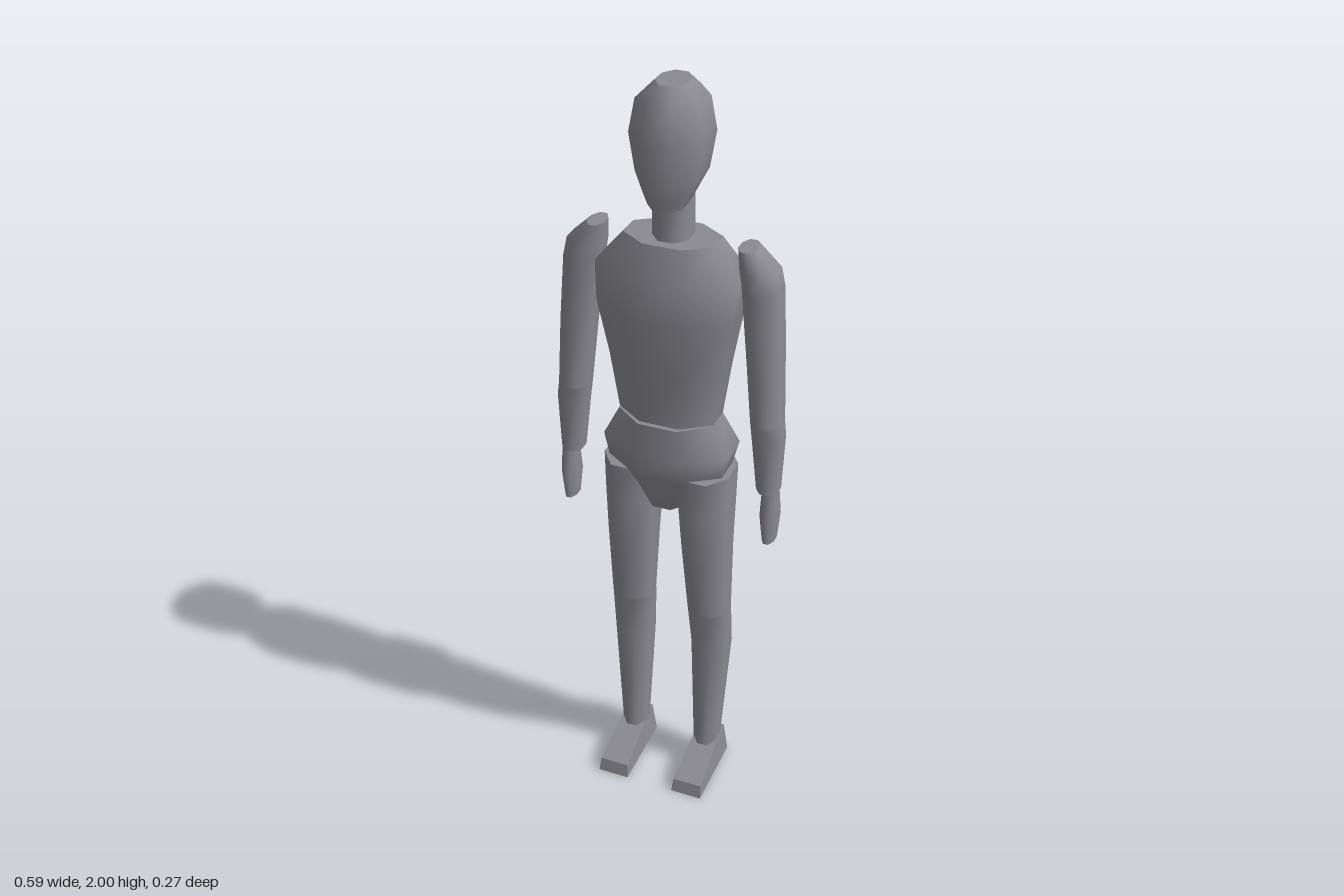
import * as THREE from 'three';

const grey = new THREE.MeshStandardMaterial({ color: 0x8a8a90 });
grey.name = 'grey';

// Octagonal loft, smooth around the sides with hard flat ends.
// Each ring is [y, xMin, xMax, zBack, zFront], listed from bottom to top.
function loft(rings) {
  const N = 8, pos = [], index = [];
  const addRing = ([y, x0, x1, z0, z1]) => {
    for (let j = 0; j < N; j++) {
      const a = ((j + 0.5) / N) * Math.PI * 2, k = 1 / Math.cos(Math.PI / N);
      pos.push((x0 + x1) / 2 + ((x1 - x0) / 2) * k * Math.cos(a), y,
        (z0 + z1) / 2 + ((z1 - z0) / 2) * k * Math.sin(a));
    }
  };
  rings.forEach(addRing);
  for (let i = 0; i < rings.length - 1; i++) {
    for (let j = 0; j < N; j++) {
      const a = i * N + j, b = i * N + (j + 1) % N;
      index.push(a, a + N, b, b, a + N, b + N);
    }
  }
  // End caps use their own vertices
  const bottom = pos.length / 3;
  addRing(rings[0]);
  const top = pos.length / 3;
  addRing(rings[rings.length - 1]);
  for (let j = 1; j < N - 1; j++) {
    index.push(bottom, bottom + j, bottom + j + 1);
    index.push(top, top + j + 1, top + j);
  }
  const g = new THREE.BufferGeometry();
  g.setAttribute('position', new THREE.Float32BufferAttribute(pos, 3));
  g.setIndex(index);
  g.computeVertexNormals();
  return g;
}

// Ring lists for parts centred on x = 0: [y, halfWidth, zBack, zFront]
const centred = (rows) => loft(rows.map(([y, w, b, f]) => [y, -w, w, b, f]));
// Ring lists for limbs, mirrored by side
const limb = (rows, s) => loft(rows.map(([y, x0, x1, b, f]) =>
  [y, Math.min(s * x0, s * x1), Math.max(s * x0, s * x1), b, f]));

// Wedge foot: a box reshaped along its length
function foot(s) {
  const g = new THREE.BoxGeometry(1, 1, 1, 1, 1, 2).toNonIndexed();
  const p = g.attributes.position;
  const stations = [ // [zBottom, zTop, yTop, half width at top]
    [-0.083, -0.075, 0.092, 0.034],
    [-0.01, 0.0, 0.076, 0.036],
    [0.135, 0.125, 0.036, 0.04],
  ];
  for (let i = 0; i < p.count; i++) {
    const [zb, zt, yt, w] = stations[Math.round((p.getZ(i) + 0.5) * 2)];
    const isTop = p.getY(i) > 0;
    p.setXYZ(i, s * 0.109 + Math.sign(p.getX(i)) * (isTop ? w : 0.043),
      isTop ? yt : 0, isTop ? zt : zb);
  }
  g.computeVertexNormals();
  return g;
}

export function createModel() {
  const model = new THREE.Group();
  model.name = 'mannequin';
  const add = (name, geometry) => {
    const mesh = new THREE.Mesh(geometry, grey);
    mesh.name = name;
    model.add(mesh);
  };

  add('head', centred([
    [1.715, 0.042, -0.055, 0.045],
    [1.745, 0.056, -0.085, 0.054],
    [1.79, 0.076, -0.125, 0.063],
    [1.88, 0.09, -0.137, 0.07],
    [1.96, 0.076, -0.128, 0.058],
    [2.0, 0.037, -0.088, 0.01],
  ]));
  add('neck', centred([
    [1.6, 0.046, -0.095, 0.012],
    [1.76, 0.045, -0.09, 0.012],
  ]));
  add('torso', centred([
    [1.14, 0.122, -0.11, 0.055],
    [1.3, 0.145, -0.12, 0.068],
    [1.45, 0.172, -0.127, 0.086],
    [1.545, 0.18, -0.127, 0.066],
    [1.625, 0.113, -0.11, 0.037],
  ]));
  add('pelvis', centred([
    [0.89, 0.058, -0.095, 0.04],
    [1.0, 0.15, -0.125, 0.073],
    [1.065, 0.165, -0.137, 0.077],
    [1.15, 0.122, -0.115, 0.068],
  ]));

  for (const [s, side] of [[1, 'left'], [-1, 'right']]) {
    add(side + 'UpperArm', limb([
      [1.18, 0.215, 0.292, -0.062, 0.025],
      [1.36, 0.198, 0.283, -0.075, 0.024],
      [1.53, 0.18, 0.272, -0.087, 0.02],
      [1.58, 0.172, 0.262, -0.085, 0.016],
      [1.63, 0.167, 0.21, -0.068, 0.004],
    ], s));
    add(side + 'Forearm', limb([
      [0.985, 0.236, 0.292, -0.05, 0.018],
      [1.14, 0.22, 0.297, -0.06, 0.025],
      [1.18, 0.215, 0.292, -0.062, 0.025],
    ], s));
    add(side + 'Hand', limb([
      [0.835, 0.256, 0.288, -0.045, 0.016],
      [0.91, 0.249, 0.294, -0.055, 0.026],
      [0.99, 0.252, 0.29, -0.04, 0.016],
    ], s));
    add(side + 'Thigh', limb([
      [0.55, 0.054, 0.161, -0.085, 0.02],
      [0.77, 0.042, 0.162, -0.102, 0.054],
      [0.9, 0.033, 0.165, -0.11, 0.06],
      [1.005, 0.03, 0.167, -0.115, 0.062],
    ], s));
    add(side + 'Shin', limb([
      [0.07, 0.074, 0.14, -0.072, 0.006],
      [0.42, 0.062, 0.16, -0.108, 0.013],
      [0.55, 0.054, 0.161, -0.087, 0.02],
    ], s));
    add(side + 'Foot', foot(s));
  }
  return model;
}
